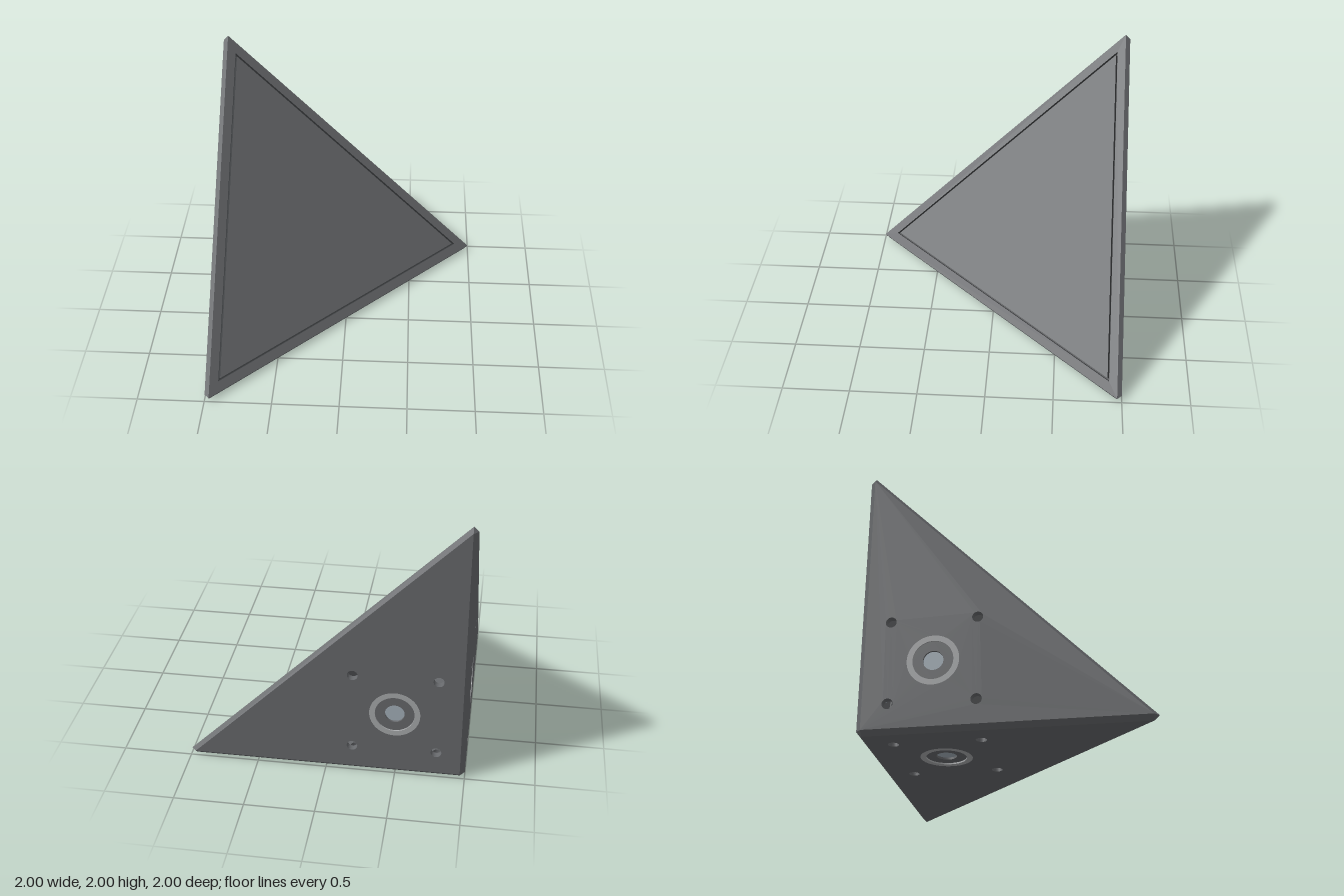
import * as THREE from 'three';

const B = 0.035;          // bevel size
const SUM = 2 + 2 * B;    // slanted cover lies on x + y + z = SUM
const C = 0.51;           // centre of the round fitting on each wall
const HOLES = [[-0.3, -0.3], [0.3, -0.3], [-0.3, 0.3], [0.3, 0.3]];

const mat = (name, color, side = THREE.FrontSide) => {
  const m = new THREE.MeshStandardMaterial({ color, side });
  m.name = name;
  return m;
};

// Flat polygons (fans), each wound to face away from the inside point
function polygons(list, inside = new THREE.Vector3(0.45, 0.45, 0.45)) {
  const pos = [];
  for (const poly of list) {
    const p = poly.map((a) => new THREE.Vector3(...a));
    const n = p[1].clone().sub(p[0]).cross(p[2].clone().sub(p[0]));
    if (n.dot(p[0].clone().sub(inside)) < 0) p.reverse();
    for (let i = 1; i < p.length - 1; i++) {
      for (const v of [p[0], p[i], p[i + 1]]) pos.push(v.x, v.y, v.z);
    }
  }
  const g = new THREE.BufferGeometry();
  g.setAttribute('position', new THREE.Float32BufferAttribute(pos, 3));
  g.computeVertexNormals();
  return g;
}

// Plate lying from z to z + depth, with round holes [x, y, r]
function plate(shape, holes, z, depth) {
  for (const [x, y, r] of holes) {
    shape.holes.push(new THREE.Path().absarc(x, y, r, 0, Math.PI * 2, true));
  }
  const g = new THREE.ExtrudeGeometry(shape, { depth, bevelEnabled: false, curveSegments: 32 });
  return g.translate(0, 0, z);
}

const disc = (r) => new THREE.Shape().absarc(C, C, r, 0, Math.PI * 2, false);

// Corners of the slanted triangle whose smallest coordinate is m, sunk by d
function corners(m, d = 0) {
  const far = SUM - 2 * m;
  return [[far, m, m], [m, far, m], [m, m, far]].map((p) => p.map((c) => c - d));
}

// Three quads between two matching triangles
const loopBand = (a, b) => [0, 1, 2].map((i) => {
  const j = (i + 1) % 3;
  return [a[i], a[j], b[j], b[i]];
});

export function createModel() {
  const body = mat('dark grey body', 0x67696c, THREE.DoubleSide);
  const seam = mat('seam shadow grey', 0x414345, THREE.DoubleSide);
  const metal = mat('light grey metal', 0xa9abad);
  const core = mat('blue grey core', 0xa4b0ba);

  const model = new THREE.Group();
  model.name = 'cornerBlock';
  model.position.set(-1, 0, -1);
  const add = (parent, name, geometry, material) => {
    const m = new THREE.Mesh(geometry, material);
    m.name = name;
    parent.add(m);
  };

  // Three identical walls, turned about the block's diagonal
  const axis = new THREE.Vector3(1, 1, 1).normalize();
  ['backWall', 'sideWall', 'bottomWall'].forEach((name, k) => {
    const wall = new THREE.Group();
    wall.name = name;
    wall.quaternion.setFromAxisAngle(axis, (k * Math.PI * 2) / 3);
    model.add(wall);

    const L = 2 - B;
    const outline = new THREE.Shape([[B, B], [L, B], [B, L]].map((p) => new THREE.Vector2(...p)));
    const holes = HOLES.map(([x, y]) => [C + x, C + y, 0.038]);
    add(wall, 'wallPanel', plate(outline, [...holes, [C, C, 0.18]], 0, 0.05), body);

    // Bevels: long edge, corner edge and tip
    add(wall, 'bevels', polygons([
      [[L, B, 0], [B, L, 0], [B, 2, B], [2, B, B]],
      [[B, B, 0], [B, L, 0], [0, L, B], [0, B, B]],
      [[B, L, 0], [0, L, B], [B, 2, B]],
    ]), body);

    // Round fitting: metal ring, recessed disc and core
    add(wall, 'fittingRing', plate(disc(0.18), [[C, C, 0.14]], 0, 0.05), metal);
    add(wall, 'fittingDisc', plate(disc(0.14), [[C, C, 0.07]], 0.01, 0.04), body);
    add(wall, 'fittingCore', plate(disc(0.07), [], 0.025, 0.025), core);
  });

  add(model, 'cornerBevel', polygons([[[B, B, 0], [B, 0, B], [0, B, B]]]), body);

  // Slanted cover: rim, sunken seam and inner panel
  const outer = corners(0.094);
  const inner = corners(0.106);
  const depth = 0.012;
  const outerLow = corners(0.094, depth);
  const innerLow = corners(0.106, depth);
  add(model, 'coverRim', polygons(loopBand(corners(B), outer)), body);
  add(model, 'coverPanel', polygons([inner]), body);
  add(model, 'coverSeam', polygons([
    ...loopBand(outer, outerLow),
    ...loopBand(inner, innerLow),
    ...loopBand(outerLow, innerLow),
  ]), seam);

  const root = new THREE.Group();
  root.name = 'model';
  root.add(model);
  return root;
}
